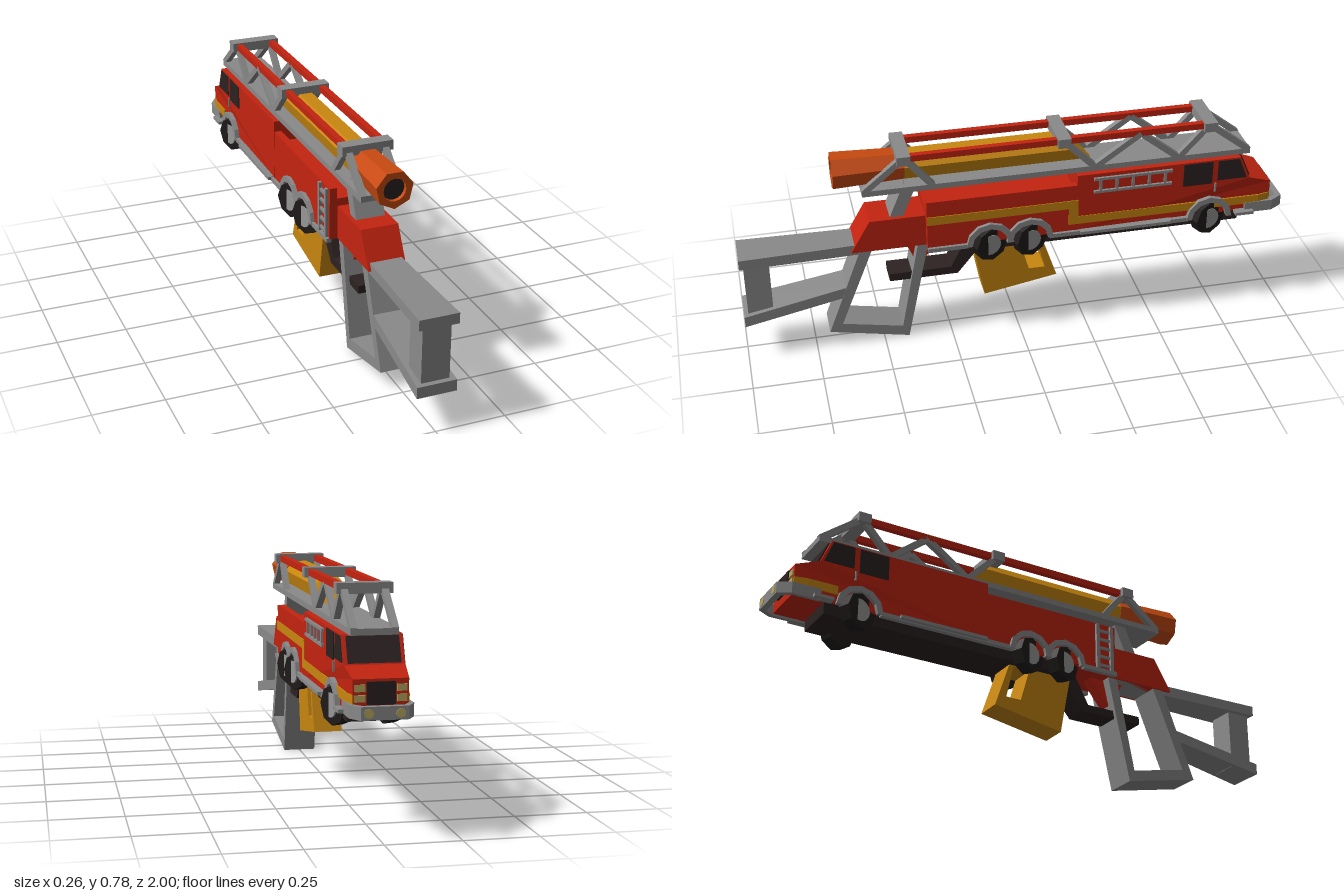
import * as THREE from 'three';

const mat = (name, color) => new THREE.MeshStandardMaterial({ name, color, flatShading: true });

export function createModel() {
  const root = new THREE.Group();
  root.name = 'fireTruckLauncher';
  const red = mat('red', 0xc42410), grey = mat('grey', 0x8a8a8a), dark = mat('dark', 0x2c2221);
  const black = mat('black', 0x1f1a1a), yellow = mat('yellow', 0xc8860f), orange = mat('orange', 0xc84a10);
  const lamp = mat('lampCream', 0xb8a860), hubGrey = mat('hubGrey', 0x989898);

  const add = (name, geo, material) => {
    const m = new THREE.Mesh(geo, material);
    m.name = name;
    root.add(m);
    return m;
  };
  const poly = (pts) => new THREE.Shape(pts.map(([a, b]) => new THREE.Vector2(a, b)));
  // Move every vertex by a rule, then refresh the flat normals
  const warp = (geo, rule) => {
    const p = geo.attributes.position, v = new THREE.Vector3();
    for (let i = 0; i < p.count; i++) {
      rule(v.fromBufferAttribute(p, i));
      p.setXYZ(i, v.x, v.y, v.z);
    }
    geo.computeVertexNormals();
    return geo;
  };
  // Side profile of [z, y] points, extruded from x0 to x1
  const profile = (pts, x0, x1, hole) => {
    const s = poly(pts);
    if (hole) s.holes.push(poly(hole));
    const g = new THREE.ExtrudeGeometry(s, { depth: x1 - x0, bevelEnabled: false });
    return g.rotateY(-Math.PI / 2).translate(x1, 0, 0);
  };
  const box = (name, material, x0, x1, y0, y1, z0, z1) => add(name,
    new THREE.BoxGeometry(x1 - x0, y1 - y0, z1 - z0)
      .translate((x0 + x1) / 2, (y0 + y1) / 2, (z0 + z1) / 2), material);
  // Slanted bar in a vertical lengthwise plane
  const bar = (name, material, x, w, t, [z1, y1], [z2, y2]) => {
    const g = new THREE.BoxGeometry(w, t, Math.hypot(z2 - z1, y2 - y1));
    g.rotateX(-Math.atan2(y2 - y1, z2 - z1)).translate(x, (y1 + y2) / 2, (z1 + z2) / 2);
    return add(name, g, material);
  };
  const disc = (name, material, r, d, n, x, y, z, alongX) => {
    const g = new THREE.CylinderGeometry(r, r, d, n);
    if (alongX) g.rotateX(Math.PI / n).rotateZ(Math.PI / 2);
    else g.rotateX(Math.PI / 2);
    return add(name, g.translate(x, y, z), material);
  };

  // Truck body: tall cab section narrowing at the nose, and open rear trough
  add('cabBody', warp(profile([[-0.21, 0.4], [-0.21, 0.63], [-0.82, 0.63], [-0.86, 0.54],
    [-0.945, 0.51], [-0.945, 0.4]], -0.098, 0.098), (v) => { if (v.z < -0.9) v.x *= 0.9; }), red);
  box('rearBody', red, -0.097, 0.097, 0.4, 0.55, -0.21, 0.335);
  box('chassis', dark, -0.08, 0.08, 0.357, 0.402, -0.83, 0.17);
  add('stockMount', profile([[0.605, 0.4], [0.535, 0.522], [0.335, 0.522], [0.335, 0.4]], -0.068, 0.068), red);

  // Windscreen, grille and lights
  add('windscreen', profile([[-0.824, 0.626], [-0.828, 0.626], [-0.864, 0.545], [-0.858, 0.545]], -0.085, 0.085), dark);
  box('grille', dark, -0.045, 0.045, 0.43, 0.502, -0.952, -0.944);

  // Wraparound bumper
  const bumper = poly([[-0.102, 0.85], [-0.102, 0.955], [-0.075, 1], [0.075, 1], [0.102, 0.955], [0.102, 0.85],
    [0.088, 0.85], [0.088, 0.945], [0.066, 0.978], [-0.066, 0.978], [-0.088, 0.945], [-0.088, 0.85]]);
  add('bumper', new THREE.ExtrudeGeometry(bumper, { depth: 0.042, bevelEnabled: false })
    .rotateX(-Math.PI / 2).translate(0, 0.392, 0), grey);

  for (const s of [-1, 1]) {
    const side = (a, b) => (s > 0 ? [a, b] : [-b, -a]);
    box('rearWall', red, ...side(0.07, 0.097), 0.55, 0.59, -0.21, 0.335);
    // Side windows
    add('rearDoorWindow', profile([[-0.605, 0.535], [-0.605, 0.625], [-0.715, 0.625], [-0.715, 0.535]], ...side(0.097, 0.101)), dark);
    add('frontDoorWindow', profile([[-0.735, 0.545], [-0.735, 0.625], [-0.815, 0.625], [-0.847, 0.545]], ...side(0.097, 0.101)), dark);
    box('doorHandle', grey, ...side(0.097, 0.104), 0.5, 0.535, -0.731, -0.725);
    // Headlights and bumper lamps
    for (const y of [0.45, 0.482]) box('headlight', lamp, ...side(0.05, 0.082), y - 0.011, y + 0.011, -0.95, -0.944);
    disc('bumperLamp', lamp, 0.015, 0.006, 10, s * 0.05, 0.413, -0.999, false);
    // Running boards and steps
    box('sill', grey, ...side(0.09, 0.108), 0.388, 0.404, -0.63, -0.11);
    box('runningBoard', grey, ...side(0.09, 0.12), 0.394, 0.406, -0.56, -0.22);
    box('cabStep', grey, ...side(0.09, 0.12), 0.394, 0.406, -0.88, -0.81);
    box('rearSill', grey, ...side(0.09, 0.108), 0.388, 0.404, 0.19, 0.335);

    // Wheels, hubs and arched fenders
    for (const z of [0.11, -0.037, -0.71]) {
      disc('tyre', black, 0.066, 0.045, 8, s * 0.084, 0.39, z, true);
      disc('hub', hubGrey, 0.041, 0.006, 14, s * 0.107, 0.39, z, true);
      const arc = [];
      for (let i = 0; i <= 6; i++) arc.push([0.087, Math.PI * i / 6]);
      for (let i = 6; i >= 0; i--) arc.push([0.066, Math.PI * i / 6]);
      add('fender', profile(arc.map(([r, a]) => [z + r * Math.cos(a), 0.393 + r * Math.sin(a)]),
        ...side(0.094, 0.111)), grey);
    }

    // Top rails and truss of the aerial ladder
    box('topRail', red, ...side(0.055, 0.077), 0.752, 0.775, -0.7, 0.41);
    const truss = [
      [[0.55, 0.645], [0.405, 0.765]], [[0.405, 0.765], [0.305, 0.645]],
      [[-0.16, 0.765], [-0.28, 0.645]], [[-0.28, 0.645], [-0.445, 0.76]],
      [[-0.445, 0.76], [-0.59, 0.645]], [[-0.59, 0.645], [-0.7, 0.765]], [[-0.7, 0.765], [-0.855, 0.645]],
    ];
    for (const [a, b] of truss) bar('trussBar', grey, s * 0.066, 0.022, 0.022, a, b);
  }
  for (const z of [0.407, -0.162, -0.7]) box('ladderCrossBlock', grey, -0.092, 0.092, 0.745, 0.78, z - 0.024, z + 0.024);
  box('ladderBase', grey, -0.077, 0.077, 0.631, 0.652, -0.86, 0.555);

  // Painted stripe: full length on the left, nose only on the right
  add('leftStripe', profile([[0.335, 0.497], [0.335, 0.53], [-0.215, 0.53], [-0.215, 0.462], [-0.9, 0.462],
    [-0.9, 0.43], [-0.18, 0.43], [-0.18, 0.497]], 0.095, 0.1), yellow);
  add('rightStripe', profile([[-0.79, 0.43], [-0.79, 0.462], [-0.9, 0.462], [-0.9, 0.43]], -0.1, -0.095), yellow);
  for (const s of [-1, 1]) {
    add('noseStripe', warp(profile([[-0.9, 0.43], [-0.9, 0.462], [-0.946, 0.462], [-0.946, 0.43]], -0.002, 0.002),
      (v) => { v.x += s * (v.z < -0.92 ? 0.088 : 0.098); }), yellow);
  }

  // Hanging ladder on the left side
  for (const y of [0.559, 0.611]) box('sideLadderRail', grey, 0.097, 0.107, y - 0.005, y + 0.005, -0.56, -0.27);
  for (let i = 0; i < 5; i++) {
    const z = -0.295 - i * 0.06;
    box('sideLadderRung', grey, 0.097, 0.105, 0.559, 0.611, z - 0.005, z + 0.005);
  }
  // Upright ladder on the right rear
  for (const z of [0.255, 0.315]) box('rearLadderRail', grey, -0.108, -0.096, 0.395, 0.585, z - 0.007, z + 0.007);
  for (let i = 0; i < 5; i++) {
    const y = 0.42 + i * 0.035;
    box('rearLadderRung', grey, -0.105, -0.096, y - 0.005, y + 0.005, 0.255, 0.315);
  }

  // Seven-sided barrel with a slanted far end, and a flared muzzle
  const heptagon = (r) => {
    const pts = [];
    for (let i = 0; i < 7; i++) {
      const a = -Math.PI / 2 + i * Math.PI * 2 / 7;
      pts.push([r * Math.cos(a), r * Math.sin(a)]);
    }
    return poly(pts);
  };
  const barrel = new THREE.ExtrudeGeometry(heptagon(0.056), { depth: 1, bevelEnabled: false });
  add('barrel', warp(barrel, (v) => {
    v.y += 0.703;
    v.z = v.z > 0.5 ? 0.41 : -0.28 + (v.y - 0.65) * 1.2;
  }), yellow);
  const muzzleShape = heptagon(0.067);
  muzzleShape.holes.push(new THREE.Path().absarc(0, 0, 0.04, 0, Math.PI * 2, true));
  const muzzle = new THREE.ExtrudeGeometry(muzzleShape, { depth: 0.25, bevelEnabled: false, curveSegments: 8 });
  add('muzzle', warp(muzzle, (v) => {
    const k = 0.86 + 0.56 * v.z;
    v.set(v.x * k, v.y * k + 0.705, v.z + 0.4);
  }), orange);
  disc('muzzleBore', dark, 0.041, 0.01, 16, 0, 0.705, 0.63, false);

  // Shoulder stock, widening towards the butt
  const flare = (g) => warp(g, (v) => { v.x *= 0.055 + 0.03 * (v.z - 0.5); });
  add('stockTop', flare(profile([[1, 0.387], [1, 0.425], [0.54, 0.425], [0.57, 0.385]], -1, 1)), grey);
  add('stockLower', flare(profile([[1, 0.142], [1, 0.183], [0.605, 0.254], [0.62, 0.211]], -1, 1)), grey);
  box('stockPost', grey, -0.05, 0.05, 0.16, 0.39, 0.895, 0.985);
  bar('stockBrace', grey, 0, 0.106, 0.045, [0.385, 0.645], [0.47, 0.44]);

  // Open grip frame
  add('gripFrame', profile([[0.57, 0.41], [0.7, 0.065], [0.41, 0.004], [0.325, 0.41]], -0.06, 0.06,
    [[0.53, 0.4], [0.365, 0.4], [0.432, 0.05], [0.652, 0.094]]), grey);

  // Trigger, trigger guard and magazine
  add('trigger', profile([[0.41, 0.4], [0.36, 0.285], [0.27, 0.4]], -0.025, 0.025), red);
  add('triggerGuard', profile([[0.47, 0.245], [0.47, 0.275], [0.245, 0.275], [0.18, 0.4], [0.1, 0.4],
    [0.13, 0.357], [0.22, 0.245]], -0.045, 0.045), dark);
  add('magazine', profile([[0.165, 0.365], [0.122, 0.14], [-0.15, 0.188], [-0.09, 0.365]], -0.05, 0.05,
    [[-0.01, 0.35], [-0.075, 0.35], [-0.105, 0.228], [-0.045, 0.228]]), yellow);

  return root;
}
